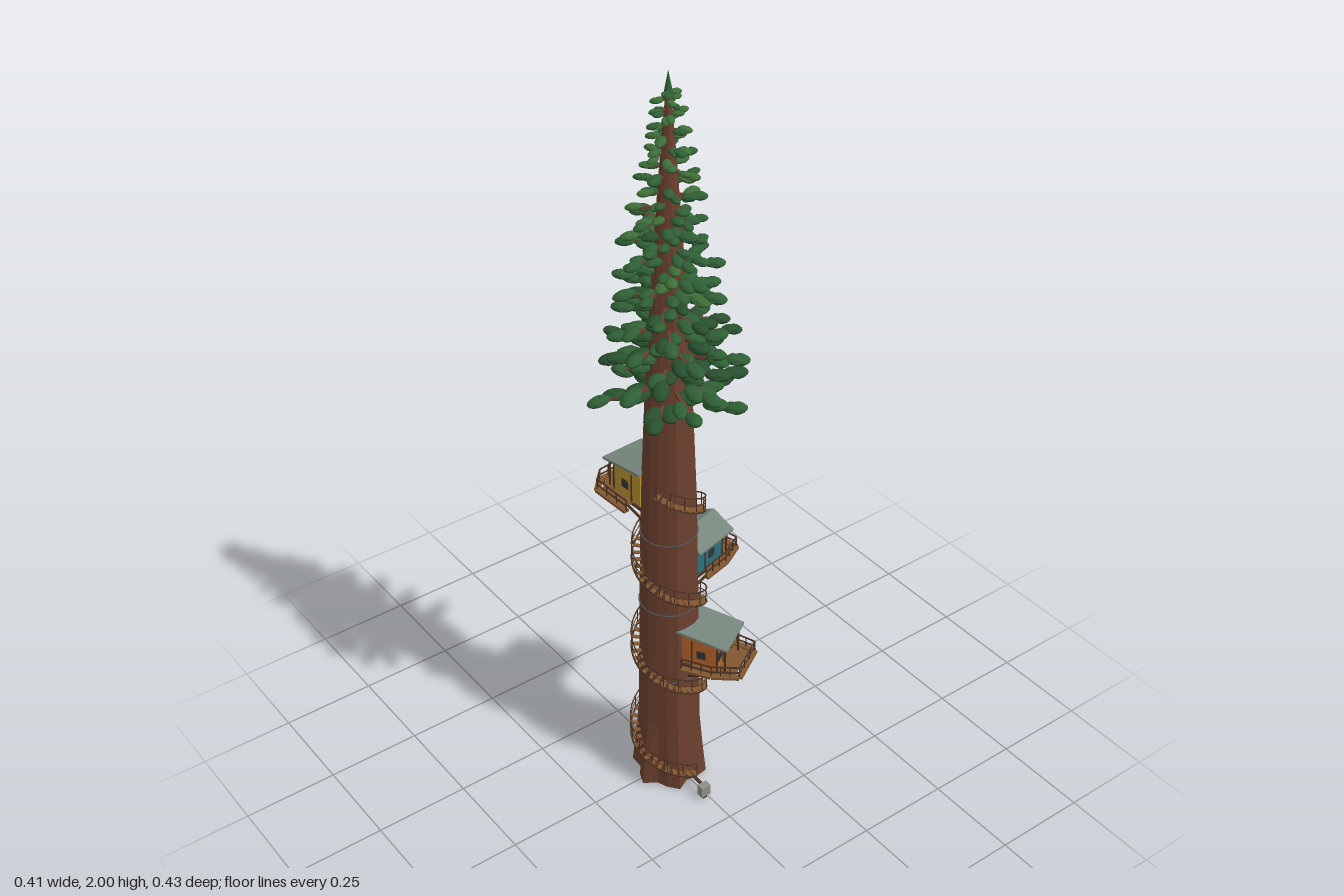
import * as THREE from 'three';
import { mergeGeometries } from 'three/addons/utils/BufferGeometryUtils.js';

const V = (x, y, z) => new THREE.Vector3(x, y, z);
const mats = {};
const mat = (color) => (mats[color] ??= new THREE.MeshStandardMaterial({ color, flatShading: true }));
const WOOD = 0x80562f, DARK = 0x4a3120, BARK = 0x6b402e, ROOF = 0x76867c, GLASS = 0x263545;

let seed = 11;
const rnd = () => (seed = (seed * 16807) % 2147483647) / 2147483647;
const lerp = THREE.MathUtils.lerp;

function add(parent, name, geo, color) {
  const m = new THREE.Mesh(geo, mat(color));
  m.name = name;
  parent.add(m);
  return m;
}
function box(parent, name, color, w, h, d, x, y, z) {
  const m = add(parent, name, new THREE.BoxGeometry(w, h, d), color);
  m.position.set(x, y, z);
  return m;
}
// box beam running from a to b
function beamGeo(a, b, w, h = w) {
  const g = new THREE.BoxGeometry(w, h, a.distanceTo(b));
  const o = new THREE.Object3D();
  o.position.copy(a).lerp(b, 0.5);
  o.lookAt(b);
  o.updateMatrix();
  return g.applyMatrix4(o.matrix);
}

// trunk radius by height, as [y, r] stops
const STOPS = [[0, 0.088], [0.08, 0.083], [0.2, 0.077], [0.6, 0.073], [0.9, 0.067], [1.2, 0.055], [1.5, 0.039], [1.8, 0.018], [1.97, 0.004]];
function trunkRadius(y) {
  const i = Math.max(1, STOPS.findIndex((s) => s[0] >= y));
  const [y0, r0] = STOPS[i - 1], [y1, r1] = STOPS[i];
  return lerp(r0, r1, (y - y0) / (y1 - y0));
}

function buildTrunk(tree) {
  const n = STOPS.length - 1;
  const g = new THREE.CylinderGeometry(1, 1, n, 18, n);
  const p = g.attributes.position;
  for (let i = 0; i < p.count; i++) {
    const [y, r] = STOPS[Math.round(p.getY(i) + n / 2)];
    const a = Math.atan2(p.getZ(i), p.getX(i));
    const flare = Math.max(0, 1 - y / 0.25);
    const k = r * Math.min(1, Math.hypot(p.getX(i), p.getZ(i)))
      * (1 + 0.035 * Math.cos(6 * a + 1) + 0.12 * flare * Math.cos(6 * a + 0.5));
    p.setXYZ(i, Math.cos(a) * k, y, Math.sin(a) * k);
  }
  g.computeVertexNormals();
  add(tree, 'trunk', g, BARK);
  // thin cable bands
  for (const y of [0.355, 0.575, 0.79]) {
    const band = add(tree, 'cableBand', new THREE.TorusGeometry(trunkRadius(y) * 1.025, 0.0018, 5, 24), 0x4b545c);
    band.rotation.x = Math.PI / 2;
    band.position.y = y;
  }
}

// needle clump: a rough elongated blob
function clumpGeo() {
  const g = new THREE.IcosahedronGeometry(1, 2);
  const p = g.attributes.position;
  for (let i = 0; i < p.count; i++) {
    const x = p.getX(i), y = p.getY(i), z = p.getZ(i);
    const k = 1 + 0.12 * Math.sin(9 * x + 4 * z) * Math.cos(8 * z - 5 * y);
    p.setXYZ(i, x * k, y * k, z * k);
  }
  g.computeVertexNormals();
  return g;
}

function buildFoliage(tree) {
  const greens = [0x28502e, 0x2f5f35, 0x3d6e38];
  const clumps = [[], [], []], limbs = [];
  const base = clumpGeo(), N = 104, o = new THREE.Object3D();
  for (let i = 0; i < N; i++) {
    const t = i / (N - 1);
    const y = 1.175 + 0.775 * t;
    const a = i * 2.39996 + rnd() * 0.3;
    const len = (0.155 * (1 - t) + 0.022) * (0.78 + 0.27 * rnd());
    const rise = (rnd() - 0.5) * 0.04 * (1 - t * 0.6);
    const at = (f) => V(Math.cos(a) * len * f, y + rise * f * f, Math.sin(a) * len * f);
    limbs.push(beamGeo(at(0.1), at(0.95), lerp(0.009, 0.003, t)));
    const size = lerp(0.034, 0.014, t);
    const count = t < 0.65 ? 3 : 2;
    for (let k = 0; k < count; k++) {
      const f = 1 - k * 0.27;
      const side = k === 0 ? 0 : (k % 2 ? 1 : -1) * size * (0.35 + 0.3 * rnd());
      o.position.copy(at(f)).add(V(-Math.sin(a) * side, (rnd() - 0.4) * 0.012, Math.cos(a) * side));
      o.rotation.set(0, -a - side * 12, (rnd() - 0.5) * 0.5);
      const s = size * (0.85 + 0.25 * rnd());
      o.scale.set(s, s * 0.43, s * 0.6);
      o.updateMatrix();
      clumps[Math.min(2, Math.floor(t * 1.6 + rnd() * 1.5))].push(base.clone().applyMatrix4(o.matrix));
    }
  }
  clumps.forEach((list, i) => add(tree, 'needleClumps', mergeGeometries(list), greens[i]));
  add(tree, 'branches', mergeGeometries(limbs), BARK);
  add(tree, 'treeTip', new THREE.ConeGeometry(0.012, 0.06, 7), greens[1]).position.y = 1.97;
}

function buildStairs(tree) {
  const pitch = 0.285, y0 = 0.035, y1 = 0.94, n = 100;
  const steps = [], posts = [];
  const at = (y, off) => {
    const a = Math.PI / 2 + ((y - 0.04) / pitch) * Math.PI * 2;
    const r = trunkRadius(y) + off;
    return V(Math.cos(a) * r, y, Math.sin(a) * r);
  };
  for (let i = 0; i <= n; i++) {
    const y = lerp(y0, y1, i / n);
    steps.push(beamGeo(at(y, -0.004), at(y, 0.022), 0.011, 0.003));
    if (i % 2 === 0) {
      const foot = at(y, 0.021);
      posts.push(beamGeo(foot, foot.clone().add(V(0.0001, 0.04, 0)), 0.002));
    }
  }
  add(tree, 'stairSteps', mergeGeometries(steps), WOOD);
  add(tree, 'stairPosts', mergeGeometries(posts), DARK);
  // stringer, mid rail and handrail follow the same spiral
  for (const [name, lift, r] of [['stairStringer', -0.003, 0.0025], ['stairMidRail', 0.02, 0.001], ['stairHandrail', 0.04, 0.0018]]) {
    const pts = Array.from({ length: 81 }, (_, i) => at(lerp(y0, y1, i / 80), 0.021).add(V(0, lift, 0)));
    add(tree, name, new THREE.TubeGeometry(new THREE.CatmullRomCurve3(pts), 240, r, 5), DARK);
  }
}

// local +x points away from the trunk
function buildHouse(tree, { name, y, angle, color, door, outline, gable }) {
  const h = new THREE.Group();
  h.name = name;
  h.position.y = y;
  h.rotation.y = -angle;
  tree.add(h);

  // deck
  const shape = new THREE.Shape(outline.map(([x, z]) => new THREE.Vector2(0.12 + (x - 0.12) * 0.78, -z * 0.78)));
  const deck = add(h, 'deck', new THREE.ExtrudeGeometry(shape, { depth: 0.007, bevelEnabled: false }), WOOD);
  deck.rotation.x = -Math.PI / 2;
  deck.position.y = -0.003;

  // edge beams, railing and joists
  const edge = [], rails = [];
  for (let i = 0; i < outline.length - 1; i++) {
    const a = V(outline[i][0] - 0.008, 0, outline[i][1] * 0.93);
    const b = V(outline[i + 1][0] - 0.008, 0, outline[i + 1][1] * 0.93);
    edge.push(beamGeo(a, b, 0.015, 0.007));
    for (const lift of [0.016, 0.032]) {
      const up = V(0, lift, 0);
      rails.push(beamGeo(a.clone().add(up), b.clone().add(up), 0.003));
    }
    for (let k = 0; k <= 3; k++) {
      const p = a.clone().lerp(b, k / 3);
      rails.push(beamGeo(p, p.clone().add(V(0.0001, 0.032, 0)), 0.0025));
    }
  }
  add(h, 'edgeBeams', mergeGeometries(edge), WOOD);
  add(h, 'railing', mergeGeometries(rails), DARK);
  for (const z of [-0.045, 0, 0.045]) {
    box(h, 'joist', DARK, 0.16, 0.006, 0.007, 0.125, -0.006, z);
    add(h, 'brace', beamGeo(V(0.055, -0.06, z * 0.6), V(0.17, -0.007, z), 0.005), DARK);
  }

  // walls, door, windows
  const W = 0.098, H = 0.078, x0 = 0.05, x1 = 0.15, mid = 0.107;
  box(h, 'walls', color, x1 - x0, H, W, (x0 + x1) / 2, 0.004 + H / 2, 0);
  box(h, 'door', door, 0.003, 0.048, 0.022, x1 + 0.001, 0.028, 0);
  const pane = (x, z, onSide) => {
    const s = (k, t) => (onSide ? [k, k, t] : [t, k, k]);
    box(h, 'windowFrame', DARK, ...s(0.024, 0.003), x, 0.042, z);
    box(h, 'windowPane', GLASS, ...s(0.018, 0.005), x, 0.042, z);
  };
  for (const s of [-1, 1]) {
    pane(x1, s * 0.031, false);
    pane(mid, s * W / 2, true);
    for (const x of [x1, 0.082]) box(h, 'cornerTrim', DARK, 0.004, H, 0.004, x, 0.004 + H / 2, s * W / 2);
    box(h, 'porchPost', DARK, 0.004, H, 0.004, 0.17, 0.004 + H / 2, s * 0.047);
  }

  // roof: a gable running outward, or a single slope falling outward
  const T = 0.004 + H;
  const prism = (pts, depth) => {
    const g = new THREE.ExtrudeGeometry(new THREE.Shape(pts.map((p) => new THREE.Vector2(...p))), { depth, bevelEnabled: false });
    return g.translate(0, 0, -depth / 2);
  };
  if (gable) {
    const end = add(h, 'gableWall', prism([[-W / 2, 0], [W / 2, 0], [0, 0.024]], x1 - x0), color);
    end.rotation.y = Math.PI / 2;
    end.position.set((x0 + x1) / 2, T, 0);
    const roof = add(h, 'roof', prism([[-0.063, -0.007], [0, 0.024], [0.063, -0.007], [0.063, -0.001], [0, 0.031], [-0.063, -0.001]], 0.135), ROOF);
    roof.rotation.y = Math.PI / 2;
    roof.position.set(0.112, T, 0);
  } else {
    add(h, 'upperWall', prism([[x0, 0], [x1, 0], [x1, 0.007], [x0, 0.022]], W), color).position.y = T;
    add(h, 'roof', prism([[0.042, 0.022], [0.18, 0.001], [0.18, 0.007], [0.042, 0.029]], 0.122), ROOF).position.y = T;
  }
}

export function createModel() {
  const model = new THREE.Group();
  model.name = 'treeHouseTower';
  const tree = new THREE.Group();
  tree.name = 'tree';
  tree.position.x = -0.01;
  model.add(tree);

  buildTrunk(tree);
  buildFoliage(tree);
  buildStairs(tree);

  const rad = THREE.MathUtils.degToRad;
  buildHouse(tree, {
    name: 'lowerHouse', y: 0.415, angle: rad(59), color: 0xb5652b, door: 0x5a3620, gable: false,
    outline: [[0.07, -0.08], [0.14, -0.083], [0.217, -0.068], [0.217, 0.05], [0.15, 0.075], [0.07, 0.075]],
  });
  buildHouse(tree, {
    name: 'middleHouse', y: 0.635, angle: rad(-14), color: 0x2c6f7c, door: 0xb5652b, gable: true,
    outline: [[0.075, -0.077], [0.215, -0.073], [0.215, 0.055], [0.15, 0.074], [0.07, 0.074]],
  });
  buildHouse(tree, {
    name: 'upperHouse', y: 0.848, angle: rad(-93), color: 0xb8932f, door: 0x5a3620, gable: false,
    outline: [[0.07, -0.088], [0.185, -0.088], [0.213, -0.055], [0.217, 0.032], [0.182, 0.064], [0.07, 0.064]],
  });

  // small box on the ground by the first step
  const crate = new THREE.Group();
  crate.name = 'entryBox';
  crate.position.set(-0.01, 0, 0.152);
  model.add(crate);
  box(crate, 'boxBody', 0x8f8f86, 0.028, 0.032, 0.02, 0, 0.026, 0);
  box(crate, 'boxFoot', DARK, 0.012, 0.012, 0.012, 0, 0.006, 0);
  box(crate, 'boxArm', DARK, 0.008, 0.004, 0.045, 0, 0.038, -0.03);
  return model;
}
